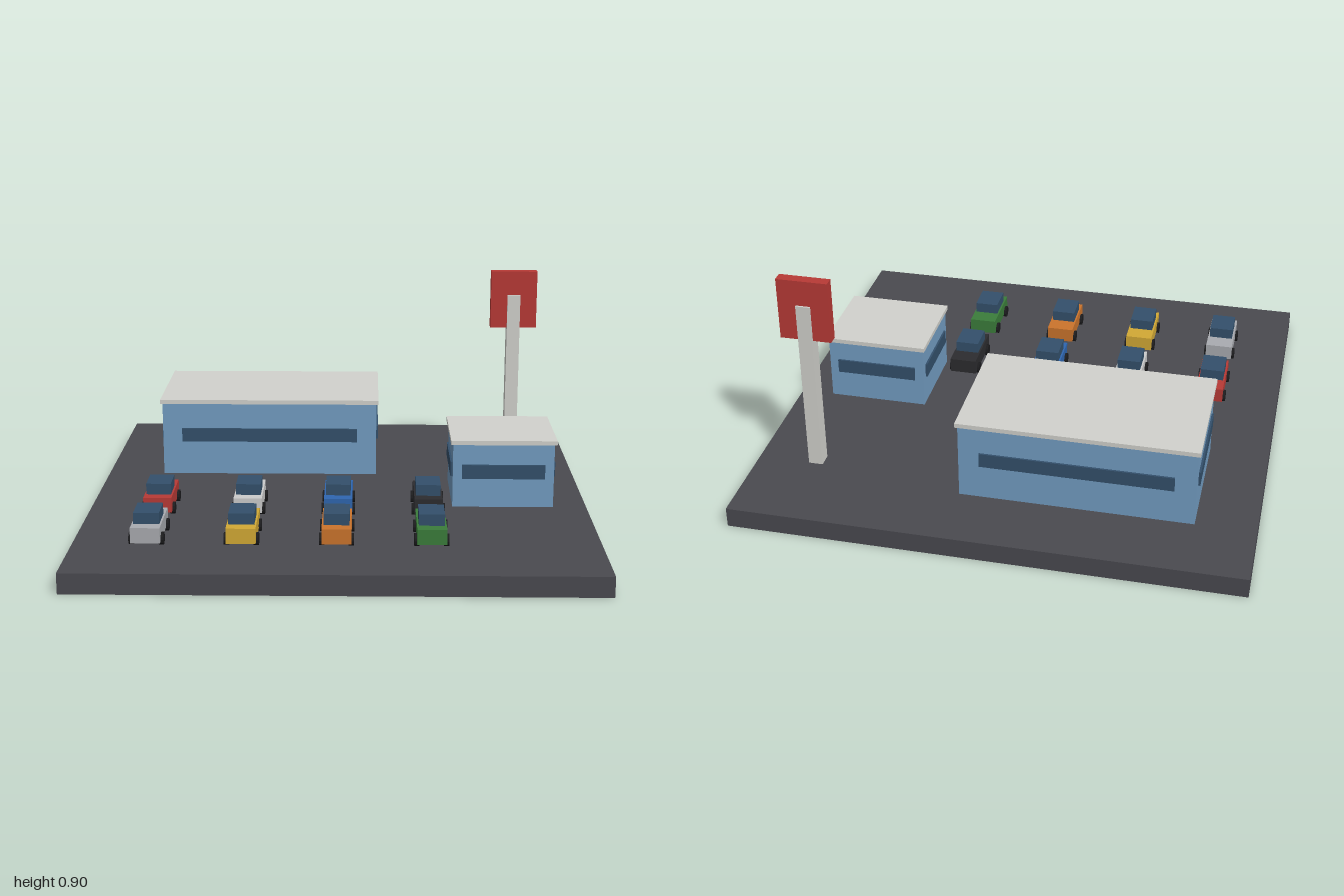
import * as THREE from 'three';

const GROUND = 0.08;
const mat = (color) => new THREE.MeshStandardMaterial({ color, flatShading: true });
const wallMat = mat(0x739dc2), glassMat = mat(0x33506b), trimMat = mat(0xd2d2cd);
const tyreMat = mat(0x1c1c1e), redMat = mat(0xb83a36);

// Box standing on y, centred on x and z
function box(parent, name, material, w, h, d, x, y, z) {
  const mesh = new THREE.Mesh(new THREE.BoxGeometry(w, h, d), material);
  mesh.name = name;
  mesh.position.set(x, y + h / 2, z);
  parent.add(mesh);
  return mesh;
}

// Flat-roofed building with a window band on each side
function building(name, w, h, d, x, z, bandY) {
  const g = new THREE.Group();
  g.name = name;
  g.position.set(x, GROUND, z);
  box(g, 'walls', wallMat, w, h, d, 0, 0, 0);
  box(g, 'roof', trimMat, w + 0.018, 0.018, d + 0.018, 0, h, 0);
  for (const s of [-1, 1]) {
    box(g, 'windowBand', glassMat, w * 0.82, 0.058, 0.016, 0, bandY, s * d / 2);
    box(g, 'sideWindowBand', glassMat, 0.016, 0.058, d * 0.81, s * w / 2, bandY, 0);
  }
  return g;
}

// Small parked car with its cabin towards +z
function car(color, x, z) {
  const g = new THREE.Group();
  g.name = 'car';
  g.position.set(x, GROUND, z);
  box(g, 'carBody', mat(color), 0.112, 0.06, 0.244, 0, 0.018, 0);
  box(g, 'carCabin', glassMat, 0.098, 0.044, 0.122, 0, 0.078, 0.015);
  const wheelGeo = new THREE.CylinderGeometry(0.024, 0.024, 0.02, 12).rotateZ(Math.PI / 2);
  for (const sx of [-1, 1]) for (const sz of [-1, 1]) {
    const wheel = new THREE.Mesh(wheelGeo, tyreMat);
    wheel.name = 'wheel';
    wheel.position.set(sx * 0.056, 0.024, sz * 0.078);
    g.add(wheel);
  }
  return g;
}

export function createModel() {
  const model = new THREE.Group();
  model.name = 'carLot';
  box(model, 'asphalt', mat(0x4a4a50), 2, GROUND, 2, 0, 0, 0);

  model.add(building('showroom', 0.917, 0.312, 0.512, -0.306, -0.46, 0.145));
  model.add(building('office', 0.407, 0.262, 0.36, 0.662, 0.05, 0.12));

  // Roadside sign
  const sign = new THREE.Group();
  sign.name = 'sign';
  sign.position.set(0.764, GROUND, -0.612);
  box(sign, 'signPole', trimMat, 0.057, 0.715, 0.057, 0, 0, 0);
  box(sign, 'signPanel', redMat, 0.203, 0.253, 0.042, 0, 0.567, 0);
  model.add(sign);

  // Two rows of parked cars
  const rows = [
    [0xb83a36, 0xd6d6d2, 0x2f66b0, 0x2c2c2f],
    [0xa9abb0, 0xd2a935, 0xcb742c, 0x3b7d3b],
  ];
  rows.forEach((colors, r) => colors.forEach((color, i) => {
    model.add(car(color, -0.717 + i * 0.358, 0.252 + r * 0.358));
  }));
  return model;
}
